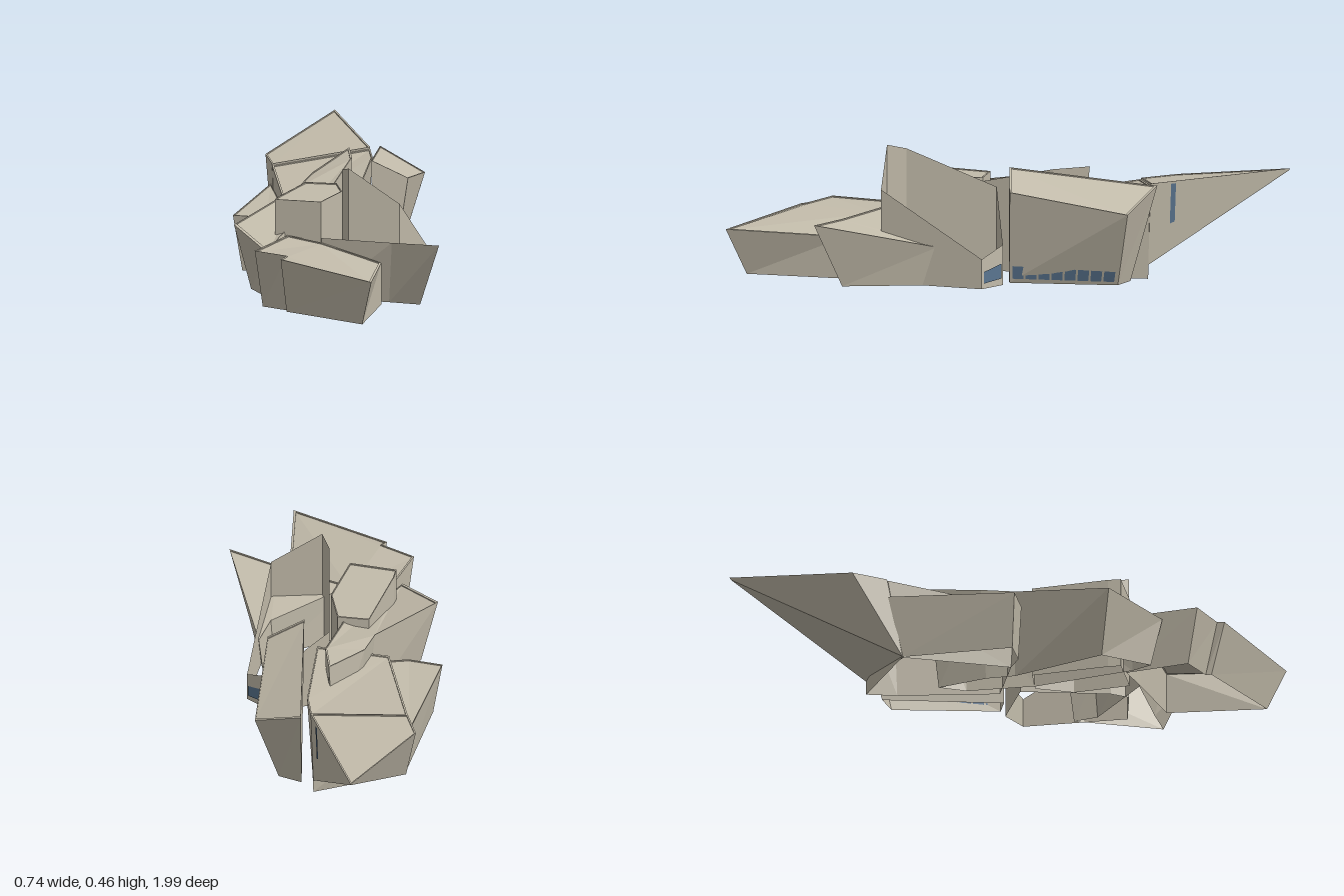
import * as THREE from 'three';

const stone = new THREE.MeshStandardMaterial({ color: 0xc3bcab, side: THREE.DoubleSide });
stone.name = 'warm stone';
const glass = new THREE.MeshStandardMaterial({ color: 0x5a7590, side: THREE.DoubleSide });
glass.name = 'blue glass';

const vec = (p) => new THREE.Vector3(...p);

function toMesh(name, pts, material) {
  const g = new THREE.BufferGeometry().setFromPoints(pts);
  g.computeVertexNormals();
  const mesh = new THREE.Mesh(g, material);
  mesh.name = name;
  return mesh;
}

// Fill a ring; faces point up, or down for a soffit
function cap(ring, up, out) {
  const flat = ring.map((p) => new THREE.Vector2(p.x, -p.z));
  for (const [a, b, c] of THREE.ShapeUtils.triangulateShape(flat, [])) {
    const ccw = THREE.ShapeUtils.area([flat[a], flat[b], flat[c]]) > 0;
    const t = ccw === up ? [a, b, c] : [a, c, b];
    out.push(...t.map((i) => ring[i]));
  }
}

// Join two rings with a band of quads
function band(low, high, out) {
  low.forEach((p, i) => {
    const j = (i + 1) % low.length;
    out.push(p, low[j], high[j], p, high[j], high[i]);
  });
}

// Leaning prism: corners are [roof x,y,z, base x,y,z]
function block(name, corners, { roof = true, soffit = false } = {}) {
  let top = corners.map((c) => vec(c.slice(0, 3)));
  let base = corners.map((c) => vec(c.slice(3)));
  if (THREE.ShapeUtils.area(top.map((p) => new THREE.Vector2(p.x, -p.z))) < 0) {
    top.reverse();
    base.reverse();
  }
  const out = [];
  band(base, top, out);
  if (roof) {
    // narrow parapet with the roof set just below it
    const mid = top.reduce((s, p) => s.add(p), new THREE.Vector3()).divideScalar(top.length);
    const rim = top.map((p) => p.clone().lerp(mid, 0.035));
    const sunk = rim.map((p) => p.clone().setY(p.y - 0.004));
    band(top, rim, out);
    band(rim, sunk, out);
    cap(sunk, true, out);
  }
  if (soffit) cap(base, false, out);
  return toMesh(name, out, stone);
}

// Thin pane on a wall given by its corners (base a,b and top c,d above b,a)
function pane(name, [a, b, c, d], u0, u1, v0, v1) {
  const [A, B, C, D] = [a, b, c, d].map(vec);
  const n = B.clone().sub(A).cross(D.clone().sub(A)).normalize().multiplyScalar(0.004);
  const at = (u, v) => A.clone().lerp(B, u).lerp(D.clone().lerp(C, u), v).add(n);
  const p = [at(u0, v0), at(u1, v0), at(u1, v1), at(u0, v1)];
  return toMesh(name, [p[0], p[1], p[2], p[0], p[2], p[3]], glass);
}

export function createModel() {
  const model = new THREE.Group();
  model.name = 'angularBuilding';

  // Rear wing with its overhanging prow
  model.add(block('rearProw', [
    [-0.02, 0.38, -0.995, -0.02, 0.372, -0.99],
    [-0.26, 0.305, -0.58, -0.23, 0, -0.40],
    [-0.235, 0.295, -0.455, -0.22, 0, -0.395],
    [0.11, 0.345, -0.51, 0.10, 0.05, -0.50],
  ], { soffit: true }));
  model.add(block('rearHall', [
    [-0.235, 0.29, -0.452, -0.22, 0, -0.40],
    [0.11, 0.34, -0.507, 0.10, 0, -0.50],
    [0.12, 0.335, -0.40, 0.10, 0, -0.39],
    [0.075, 0.29, -0.02, 0.055, 0, -0.03],
    [-0.18, 0.23, 0, -0.17, 0, -0.01],
  ]));
  model.add(block('lowSideWing', [
    [-0.24, 0.225, -0.452, -0.225, 0, -0.40],
    [-0.368, 0.20, -0.015, -0.335, 0, -0.02],
    [-0.25, 0.20, 0.02, -0.24, 0, 0.01],
    [-0.18, 0.21, 0, -0.17, 0, -0.01],
  ]));

  // Long separate wing with a sloping roof
  model.add(block('longWing', [
    [0.12, 0.40, -0.01, 0.13, 0, -0.01],
    [0.25, 0.335, -0.02, 0.20, 0, -0.015],
    [0.305, 0.27, -0.44, 0.22, 0, -0.40],
    [0.145, 0.345, -0.535, 0.14, 0, -0.44],
  ]));

  // Spine running diagonally through the middle
  model.add(block('spine', [
    [0.04, 0.39, -0.29, 0.02, 0, -0.25],
    [0.05, 0.38, -0.16, 0.04, 0, -0.15],
    [-0.02, 0.32, 0.09, -0.02, 0, 0.09],
    [-0.20, 0.21, 0.42, -0.18, 0, 0.42],
    [-0.24, 0.175, 0.52, -0.23, 0, 0.48],
    [-0.36, 0.235, 0.32, -0.30, 0, 0.30],
    [-0.13, 0.315, 0.01, -0.10, 0, 0.01],
    [-0.09, 0.335, -0.11, -0.07, 0, -0.09],
  ]));

  // Upright core with a level roof
  model.add(block('core', [
    [-0.11, 0.338, 0.07], [0.0, 0.338, 0.09], [0.02, 0.338, 0.23],
    [-0.052, 0.338, 0.42], [-0.215, 0.338, 0.375], [-0.205, 0.338, 0.33],
  ].map(([x, y, z]) => [x, y, z, x, 0, z])));

  // Open-topped tower with upright walls
  model.add(block('openTower', [
    [0.03, 0.31, 0.04], [0.24, 0.145, 0.005], [0.32, 0.107, 0.075],
    [0.226, 0.335, 0.437], [0.046, 0.46, 0.427], [0.022, 0.443, 0.36],
  ].map(([x, y, z]) => [x, y, z, x, 0, z]), { roof: false }));

  // Splayed entrance wedge
  model.add(block('frontWedge', [
    [-0.05, 0.215, 0.455, -0.05, 0, 0.455],
    [0.20, 0.223, 0.575, 0.19, 0, 0.53],
    [0.368, 0.232, 0.665, 0.30, 0, 0.57],
    [0.275, 0.14, 0.235, 0.26, 0, 0.25],
    [0.23, 0.165, 0.32, 0.22, 0, 0.33],
  ]));

  // Front block with a stepped corner
  model.add(block('frontBlock', [
    [-0.17, 0.212, 0.39, -0.16, 0, 0.40],
    [-0.283, 0.207, 0.64, -0.255, 0, 0.61],
    [-0.17, 0.205, 0.72, -0.165, 0, 0.68],
    [-0.19, 0.197, 0.745, -0.17, 0, 0.70],
    [0.133, 0.166, 0.992, 0.10, 0, 0.92],
    [0.163, 0.15, 0.57, 0.163, 0, 0.57],
    [-0.05, 0.20, 0.46, -0.05, 0, 0.46],
  ]));

  // Windows: base strip, tower light and tall slit
  const wingWall = [[0.20, 0, -0.015], [0.22, 0, -0.40], [0.305, 0.27, -0.44], [0.25, 0.335, -0.02]];
  for (let i = 0; i < 8; i++) {
    const u = 0.03 + i * 0.119;
    model.add(pane('wingWindow', wingWall, u, u + 0.1, 0.05, 0.19));
  }
  model.add(pane('towerWindow',
    [[0.32, 0, 0.075], [0.24, 0, 0.005], [0.24, 0.145, 0.005], [0.32, 0.107, 0.075]], 0.06, 0.9, 0.18, 0.56));
  model.add(pane('slitWindow',
    [[0.10, 0.05, -0.50], [-0.02, 0.372, -0.99], [-0.02, 0.38, -0.995], [0.11, 0.345, -0.51]],
    0.145, 0.18, 0.4, 0.97));
  return model;
}
